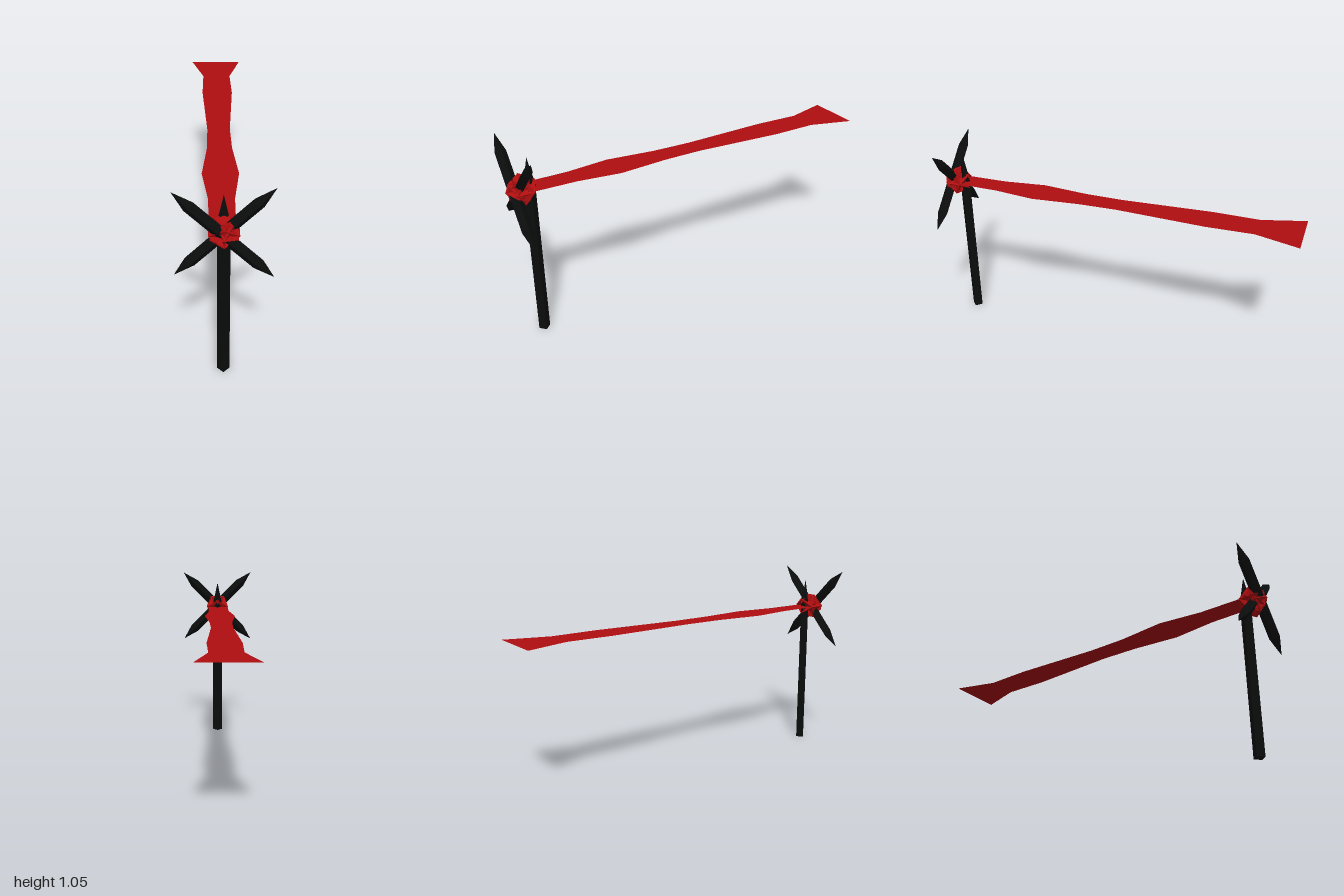
import * as THREE from 'three';

const black = new THREE.MeshStandardMaterial({ color: 0x0b0d0c, flatShading: true });
black.name = 'black';
const red = new THREE.MeshStandardMaterial({ color: 0xb00e10, flatShading: true, side: THREE.DoubleSide });
red.name = 'red';

// four-sided spindle from [radius, height] pairs
function spindle(name, profile) {
  const pts = profile.map(([r, y]) => new THREE.Vector2(r, y));
  const mesh = new THREE.Mesh(new THREE.LatheGeometry(pts, 4), black);
  mesh.name = name;
  return mesh;
}

// icosahedron whose triangles are pushed inwards at their centres
function dimpledBall(radius) {
  const p = new THREE.IcosahedronGeometry(radius, 0).getAttribute('position');
  const out = [];
  for (let i = 0; i < p.count; i += 3) {
    const v = [0, 1, 2].map((k) => new THREE.Vector3().fromBufferAttribute(p, i + k));
    const dent = v[0].clone().add(v[1]).add(v[2]).multiplyScalar(0.75 / 3);
    for (let k = 0; k < 3; k++) {
      for (const q of [v[k], v[(k + 1) % 3], dent]) out.push(q.x, q.y, q.z);
    }
  }
  const g = new THREE.BufferGeometry();
  g.setAttribute('position', new THREE.Float32BufferAttribute(out, 3));
  g.computeVertexNormals();
  return g;
}

export function createModel() {
  const model = new THREE.Group();
  const hubY = 0.828;

  // pole with pointed top
  const pole = spindle('pole', [[0, 0], [0.03, 0], [0.03, 0.845], [0, 0.985]]);
  pole.position.z = 0.88;
  model.add(pole);

  // two crossed blades, one behind the other
  for (const [side, z] of [[1, 0.957], [-1, 0.932]]) {
    const blade = spindle('blade', [[0, -0.31], [0.029, -0.21], [0.029, 0.21], [0, 0.31]]);
    blade.position.set(0, hubY, z);
    blade.rotation.z = side * Math.PI / 4;
    model.add(blade);
  }

  // lumpy hub made of two overlapping faceted balls
  const hub = new THREE.Group();
  hub.name = 'hub';
  const rear = new THREE.Mesh(dimpledBall(0.08), red);
  rear.name = 'rearHub';
  rear.position.set(0, hubY, 0.918);
  const front = new THREE.Mesh(dimpledBall(0.073), red);
  front.name = 'frontHub';
  front.position.set(0, hubY, 0.927);
  // turn one corner of the ball to the front
  const corner = new THREE.Vector3(0, 1, (1 + Math.sqrt(5)) / 2).normalize();
  front.quaternion.setFromUnitVectors(corner, new THREE.Vector3(0, 0, 1));
  hub.add(rear, front);
  model.add(hub);

  // flat ribbon tail: z, right edge x, left edge x
  const stations = [
    [-1, -0.153, 0.143], [-0.77, -0.085, 0.076], [-0.52, -0.09, 0.082], [-0.04, -0.065, 0.055],
    [0.17, -0.068, 0.06], [0.43, -0.095, 0.085], [0.66, -0.066, 0.057], [0.9, -0.064, 0.054],
  ];
  const outline = [
    ...stations.map(([z, a]) => new THREE.Vector2(a, -z)),
    ...stations.slice().reverse().map(([z, , b]) => new THREE.Vector2(b, -z)),
  ];
  const tail = new THREE.Mesh(new THREE.ShapeGeometry(new THREE.Shape(outline)), red);
  tail.name = 'tail';
  tail.rotation.x = -Math.PI / 2;
  tail.position.y = hubY;
  model.add(tail);

  return model;
}
